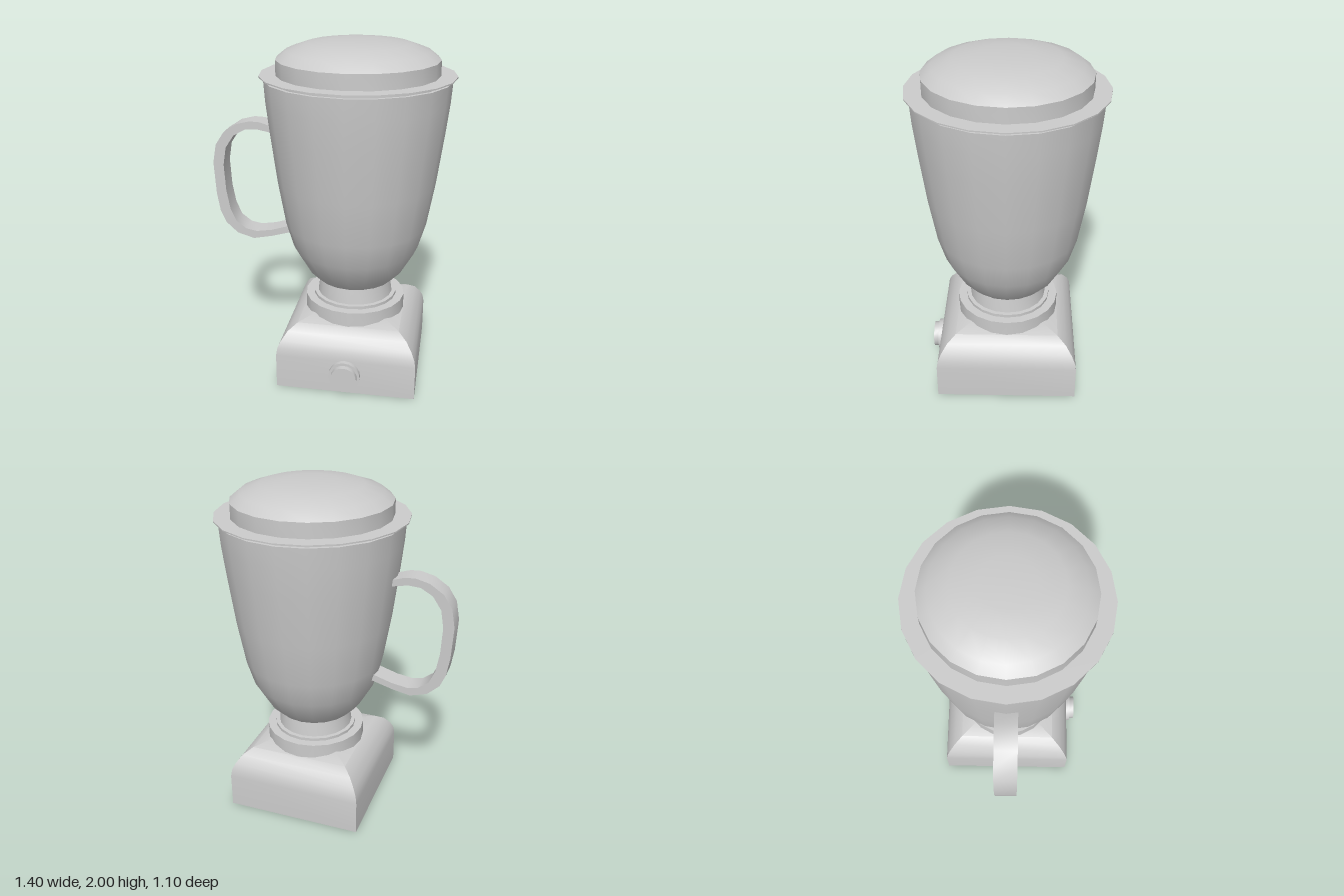
import * as THREE from 'three';
import { toCreasedNormals } from 'three/addons/utils/BufferGeometryUtils.js';

const CX = 0.146; // axis of the body; the handle reaches out to -x
const material = new THREE.MeshStandardMaterial({ color: 0xcccccc });
const points = (list) => list.map(([x, y]) => new THREE.Vector2(x, y));

function addMesh(group, name, geometry, crease = 0.6) {
  const mesh = new THREE.Mesh(toCreasedNormals(geometry, crease), material);
  mesh.name = name;
  group.add(mesh);
  return mesh;
}

// Turned part around the body axis, profile given as [radius, height] from the bottom up
function addTurned(group, name, profile, sides = 20, start = 0) {
  const mesh = addMesh(group, name, new THREE.LatheGeometry(points(profile), sides, start));
  mesh.position.x = CX;
  return mesh;
}

export function createModel() {
  const model = new THREE.Group();
  model.name = 'blender';

  // Square base with a rounded, mitred top: a four-sided turning
  const baseProfile = [[0, 0], [0.41, 0], [0.41, 0.21], [0.403, 0.255], [0.385, 0.295],
    [0.35, 0.345], [0.30, 0.38], [0.21, 0.405], [0, 0.41]];
  addTurned(model, 'base', baseProfile.map(([d, y]) => [d * Math.SQRT2, y]), 4, Math.PI / 4);

  // Control knob on the front
  const knob = addTurned(model, 'knob', [[0, 0], [0.092, 0], [0.092, 0.028],
    [0.076, 0.028], [0.076, 0.057], [0, 0.057]]);
  knob.rotation.x = Math.PI / 2;
  knob.position.set(CX, 0.123, 0.408);

  // Collar and neck under the jar
  addTurned(model, 'collar', [[0, 0.36], [0.30, 0.36], [0.30, 0.47], [0, 0.47]]);
  addTurned(model, 'neck', [[0, 0.46], [0.25, 0.46], [0.25, 0.488], [0.226, 0.488],
    [0.212, 0.59], [0, 0.59]]);

  // Thin-walled jar, open under the lid
  addTurned(model, 'jar', [[0, 0.59], [0.235, 0.59], [0.292, 0.65], [0.372, 0.79],
    [0.416, 0.94], [0.46, 1.2], [0.498, 1.5], [0.517, 1.67], [0.525, 1.79],
    [0.505, 1.79], [0.478, 1.5], [0.44, 1.2], [0.396, 0.94], [0.352, 0.8],
    [0.272, 0.67], [0.22, 0.62], [0, 0.62]]);

  // Domed lid with a thin, wide flange
  addTurned(model, 'lid', [[0, 1.785], [0.502, 1.785], [0.502, 1.808], [0.55, 1.808],
    [0.55, 1.815], [0.457, 1.815], [0.457, 1.90], [0.40, 1.945], [0.29, 1.983],
    [0.15, 1.999], [0, 2]]);

  // Flat band handle: outer edge down, then inner edge back up
  const handleShape = new THREE.Shape(points([
    [-0.34, 1.505], [-0.41, 1.527], [-0.47, 1.53], [-0.55, 1.51], [-0.63, 1.457],
    [-0.68, 1.38], [-0.70, 1.27], [-0.69, 1.08], [-0.672, 0.97], [-0.64, 0.895],
    [-0.57, 0.83], [-0.47, 0.80], [-0.36, 0.822], [-0.22, 0.862],
    [-0.235, 0.90], [-0.36, 0.862], [-0.45, 0.848], [-0.515, 0.86], [-0.575, 0.905],
    [-0.61, 0.985], [-0.63, 1.10], [-0.638, 1.26], [-0.62, 1.365], [-0.57, 1.44],
    [-0.50, 1.48], [-0.43, 1.485], [-0.33, 1.465]]));
  const handle = new THREE.ExtrudeGeometry(handleShape, { depth: 0.124, bevelEnabled: false });
  addMesh(model, 'handle', handle.translate(0, 0, -0.062));

  return model;
}
